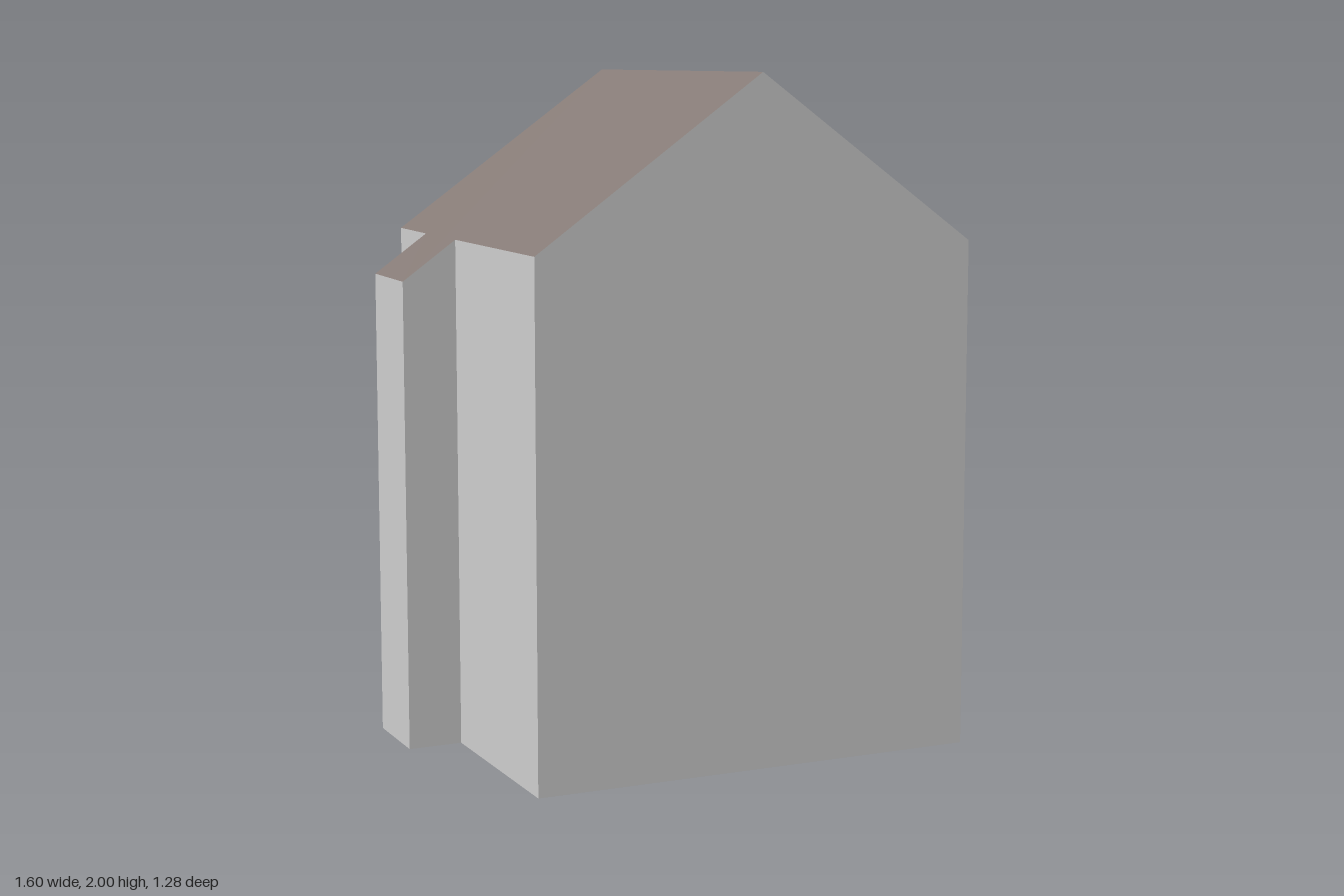
import * as THREE from 'three';

// Ridge end points on the ground plan, as [x, z]
const ridgeFront = [-0.036, 0.548];
const ridgeBack = [0.097, -0.552];

// Plan outline of each half, counterclockwise seen from above
const rightHalf = [
  ridgeFront, [0.633, 0.638], [0.707, 0.08], [0.727, 0.083], [0.795, -0.46], ridgeBack,
];
const leftHalf = [
  ridgeBack, [-0.574, -0.644], [-0.605, -0.412], [-0.765, -0.433], // bay on the side
  [-0.8, -0.178], [-0.638, -0.158], [-0.718, 0.457], ridgeFront,
];

// Roof height falls with the distance from the ridge line
function roofHeight([x, z]) {
  const dx = ridgeFront[0] - ridgeBack[0];
  const dz = ridgeFront[1] - ridgeBack[1];
  const d = ((x - ridgeBack[0]) * dz - (z - ridgeBack[1]) * dx) / Math.hypot(dx, dz);
  return 2 - Math.abs(d) * (d > 0 ? 0.725 : 0.715);
}

function meshFrom(positions, material, name) {
  const geometry = new THREE.BufferGeometry();
  geometry.setAttribute('position', new THREE.Float32BufferAttribute(positions, 3));
  geometry.computeVertexNormals();
  const mesh = new THREE.Mesh(geometry, material);
  mesh.name = name;
  return mesh;
}

// Flat polygon over a plan outline, facing up or down
function cap(outline, height, faceUp) {
  const flat = outline.map(([x, z]) => new THREE.Vector2(x, -z));
  const positions = [];
  for (const tri of THREE.ShapeUtils.triangulateShape(flat, [])) {
    const [a, b, c] = tri.map((i) => flat[i]);
    const up = (b.x - a.x) * (c.y - a.y) - (b.y - a.y) * (c.x - a.x) > 0;
    for (const i of up === faceUp ? tri : [...tri].reverse()) {
      const [x, z] = outline[i];
      positions.push(x, height(outline[i]), z);
    }
  }
  return positions;
}

// Upright walls from the ground to the roof along an outline
function walls(outline) {
  const positions = [];
  for (let i = 0; i < outline.length - 1; i++) {
    const p = outline[i], q = outline[i + 1];
    const p0 = [p[0], 0, p[1]], q0 = [q[0], 0, q[1]];
    const p1 = [p[0], roofHeight(p), p[1]], q1 = [q[0], roofHeight(q), q[1]];
    positions.push(...p0, ...q0, ...q1, ...p0, ...q1, ...p1);
  }
  return positions;
}

export function createModel() {
  const wallMaterial = new THREE.MeshStandardMaterial({ color: 0xcccccc });
  wallMaterial.name = 'wall grey';
  const roofMaterial = new THREE.MeshStandardMaterial({ color: 0x857a75 });
  roofMaterial.name = 'roof brown';

  const house = new THREE.Group();
  house.name = 'house';
  for (const [side, outline] of [['right', rightHalf], ['left', leftHalf]]) {
    // The plan's +x side is the model's own left
    const own = side === 'right' ? 'left' : 'right';
    house.add(
      meshFrom(walls(outline), wallMaterial, `${own}Walls`),
      meshFrom(cap(outline, roofHeight, true), roofMaterial, `${own}RoofSlope`),
      meshFrom(cap(outline, () => 0, false), wallMaterial, `${own}Floor`),
    );
  }
  return house;
}
